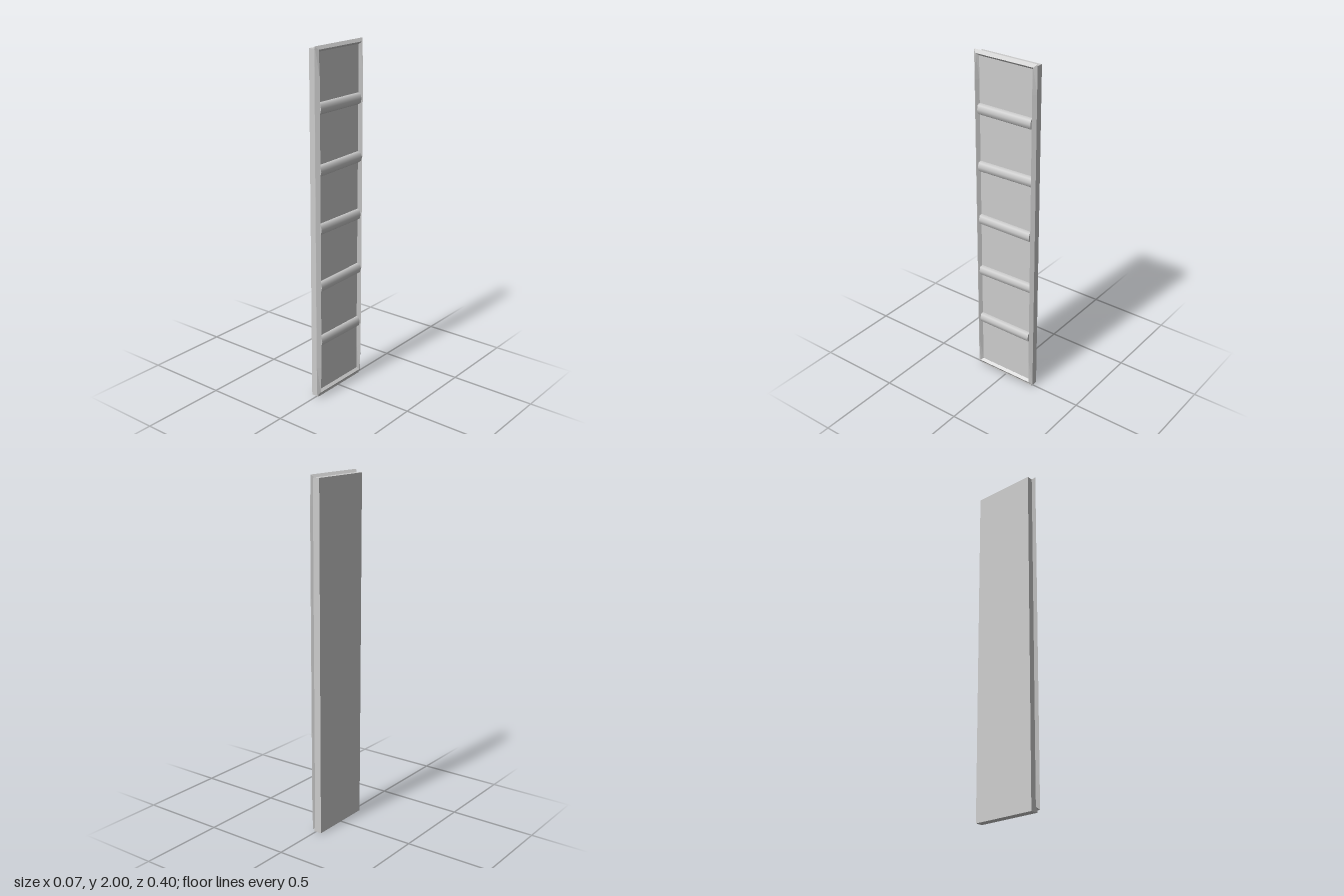
import * as THREE from 'three';

const material = new THREE.MeshStandardMaterial({ color: 0xcccccc });

function add(group, name, geometry) {
  const mesh = new THREE.Mesh(geometry, material);
  mesh.name = name;
  group.add(mesh);
  return mesh;
}

// Closed diamond-section moulding swept around a rectangle facing +x
function frameGeometry() {
  const halfZ = 0.2, y0 = 0.013, y1 = 2.0;
  // stations: side in z, height, direction toward the middle, front depth
  const stations = [
    [1, y0, 1, 0.027], [-1, y0, 1, 0.027],
    [-1, 0.19, 0, 0.033], [-1, 1.84, 0, 0.033],
    [-1, y1, -1, 0.027], [1, y1, -1, 0.027],
    [1, 1.84, 0, 0.033], [1, 0.19, 0, 0.033],
  ];
  const position = [], index = [];
  for (const [side, y, inY, front] of stations) {
    const section = [[0.015, 0], [front, 0.018], [0.013, 0.031], [-0.003, 0.018]];
    for (const [x, inset] of section) {
      position.push(x, y + inY * inset, side * (halfZ - inset));
    }
  }
  const n = stations.length;
  for (let i = 0; i < n; i++) {
    for (let j = 0; j < 4; j++) {
      const next = (i + 1) % n, k = (j + 1) % 4;
      const a = i * 4 + j, b = next * 4 + j, c = next * 4 + k, d = i * 4 + k;
      index.push(a, b, c, a, c, d);
    }
  }
  const indexed = new THREE.BufferGeometry();
  indexed.setAttribute('position', new THREE.Float32BufferAttribute(position, 3));
  indexed.setIndex(index);
  const geometry = indexed.toNonIndexed();
  geometry.computeVertexNormals();
  return geometry;
}

export function createModel() {
  const group = new THREE.Group();
  group.name = 'ribbedPanel';

  // Flat backing slab
  const panel = add(group, 'backPanel', new THREE.BoxGeometry(0.046, 1.985, 0.376));
  panel.position.set(-0.012, 0.9925, -0.003);

  add(group, 'frame', frameGeometry());

  // Rounded cross ribs; every second one is longer and slightly tilted
  for (let i = 0; i < 5; i++) {
    const long = i % 2 === 1;
    const rib = new THREE.CylinderGeometry(1, 1, long ? 0.355 : 0.345, 8, 1);
    rib.rotateX(Math.PI / 2);
    rib.scale(0.02, 0.033, 1);
    const mesh = add(group, 'crossRib' + (i + 1), rib);
    mesh.position.set(0.012, 0.347 + i * 0.332, long ? -0.004 : 0);
    if (long) mesh.rotation.x = 0.02;
  }
  return group;
}
